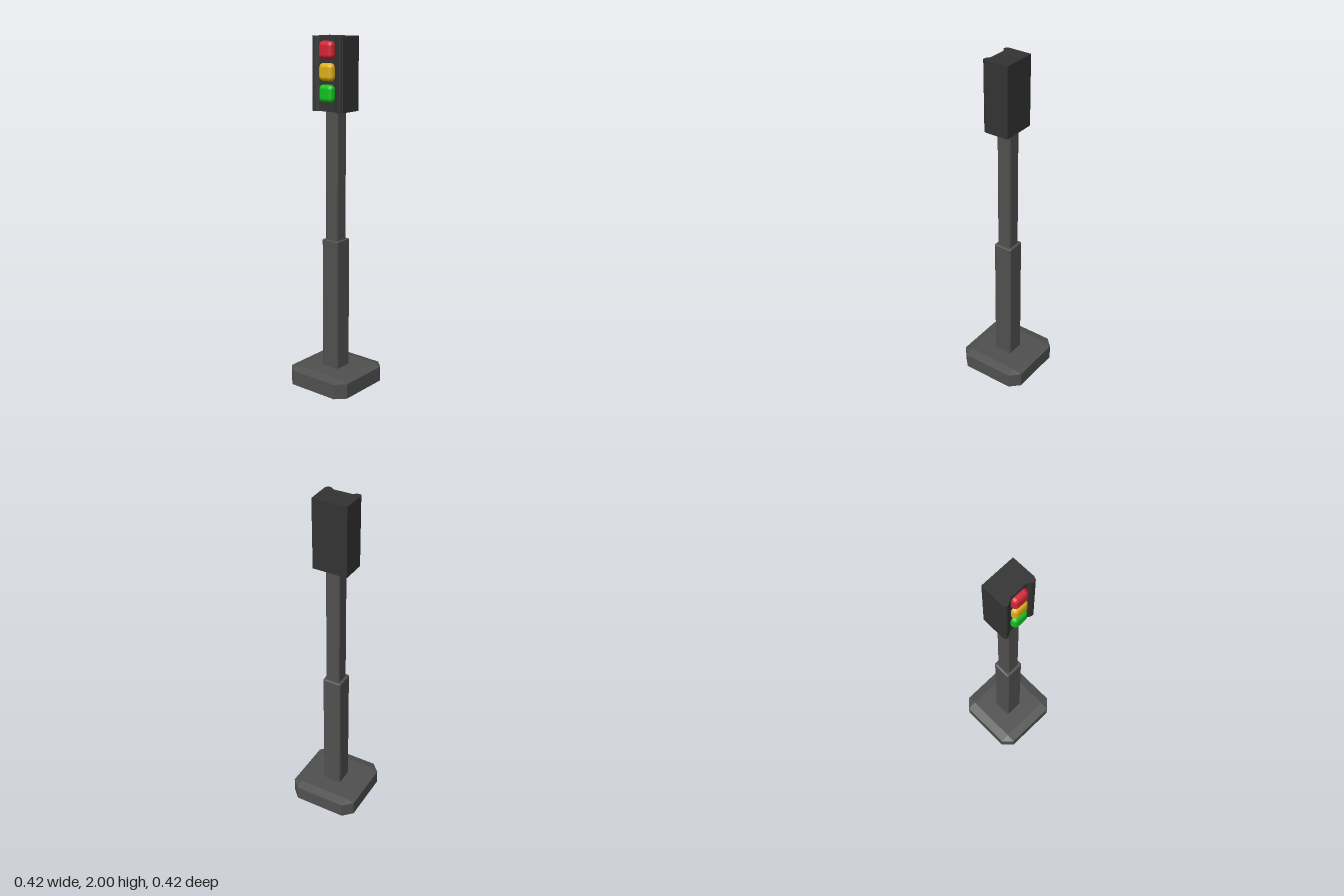
import * as THREE from 'three';
import { ConvexGeometry } from 'three/addons/geometries/ConvexGeometry.js';
import { RoundedBoxGeometry } from 'three/addons/geometries/RoundedBoxGeometry.js';

const paint = (color, flatShading = true) => new THREE.MeshStandardMaterial({ color, flatShading });

// Box with every edge and corner cut: b across x and z, by along y
function chamferBox(w, y0, y1, b, by) {
  const h = w / 2, hy = (y1 - y0) / 2, mid = (y0 + y1) / 2, points = [];
  for (const sx of [-1, 1]) for (const sy of [-1, 1]) for (const sz of [-1, 1]) {
    const add = (x, y, z) => points.push(new THREE.Vector3(sx * x, mid + sy * y, sz * z));
    add(h, hy - by, h - b);
    add(h - b, hy, h - b);
    add(h - b, hy - by, h);
  }
  return new ConvexGeometry(points);
}

export function createModel() {
  const group = new THREE.Group();
  const add = (name, geometry, material) => {
    const mesh = new THREE.Mesh(geometry, material);
    mesh.name = name;
    group.add(mesh);
    return mesh;
  };
  const grey = paint(0x505050);
  const dark = paint(0x333333);

  // Foot and two-stage post
  add('base', chamferBox(0.416, 0, 0.115, 0.053, 0.014), grey);
  add('lowerPost', chamferBox(0.112, 0.09, 0.877, 0.007, 0.004), grey);
  add('upperPost', chamferBox(0.084, 0.85, 1.62, 0.007, 0.004), grey);

  // Housing: plan outline with a raised rounded rib on each side of the front
  const half = [
    [0.101, -0.07], [0.103, 0.067], [0.1, 0.07], [0.099, 0.078], [0.094, 0.084],
    [0.086, 0.085], [0.074, 0.082], [0.062, 0.074], [0.054, 0.067],
  ];
  const outline = [...half, ...half.map(([x, z]) => [-x, z]).reverse()];
  const shape = new THREE.Shape(outline.map(([x, z]) => new THREE.Vector2(x, -z)));
  const housing = new THREE.ExtrudeGeometry(shape, { depth: 0.4, bevelEnabled: false });
  housing.rotateX(-Math.PI / 2).translate(0, 1.6, 0);
  add('housing', housing, dark);

  // Lamps
  const lamps = [
    ['redLamp', 0xd42434, 1.928],
    ['yellowLamp', 0xdcae14, 1.812],
    ['greenLamp', 0x10c020, 1.698],
  ];
  for (const [name, color, y] of lamps) {
    const lamp = add(name, new RoundedBoxGeometry(0.096, 0.096, 0.07, 4, 0.025), paint(color, false));
    lamp.position.set(0, y, 0.063);
  }
  return group;
}
